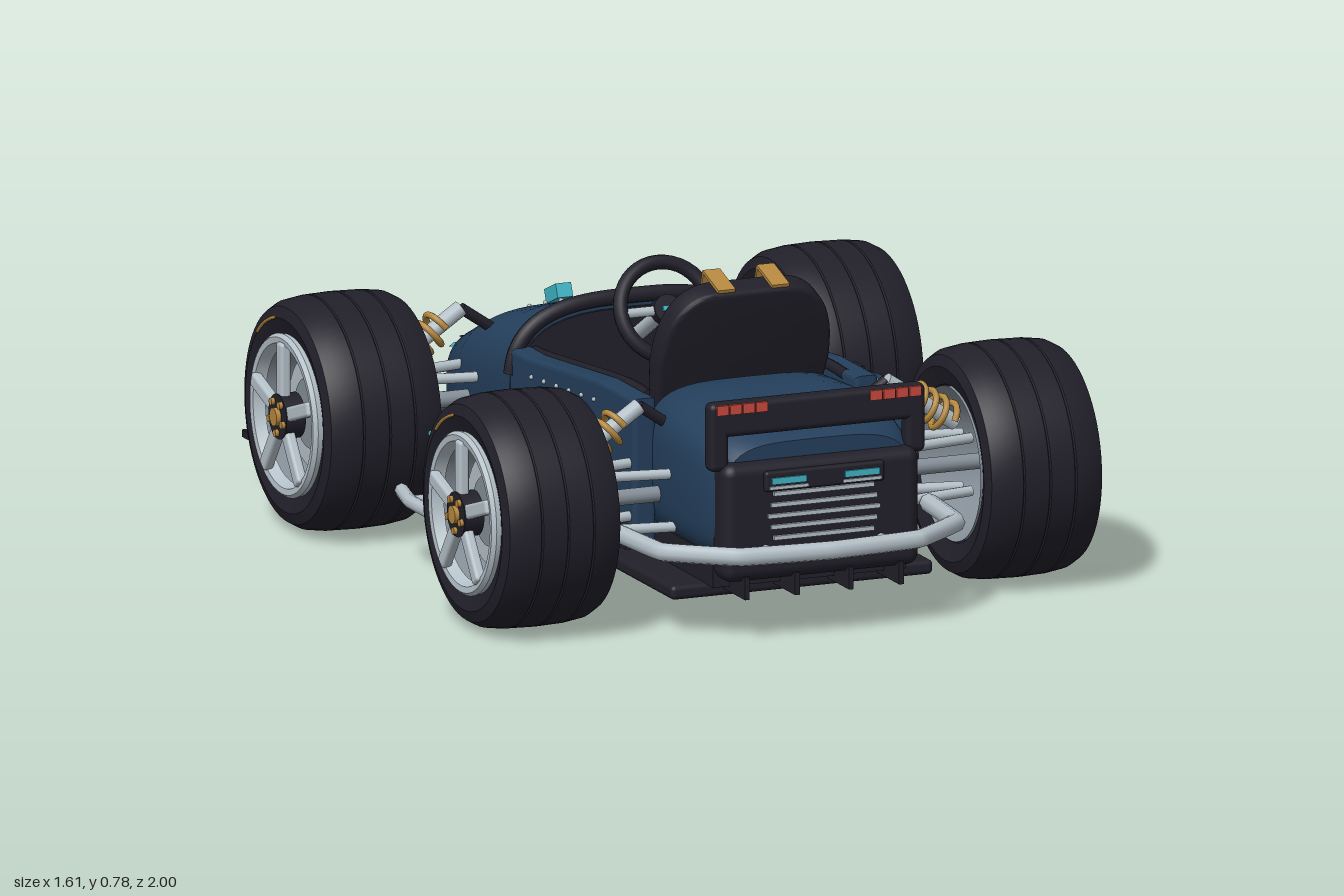
import * as THREE from 'three';
import { toCreasedNormals } from 'three/addons/utils/BufferGeometryUtils.js';
import { RoundedBoxGeometry } from 'three/addons/geometries/RoundedBoxGeometry.js';

const mat = (name, color, side = THREE.FrontSide) =>
  Object.assign(new THREE.MeshStandardMaterial({ color, side }), { name });
const V = (x, y, z) => new THREE.Vector3(x, y, z);

export function createModel() {
  const navy = mat('navy', 0x243f5c), black = mat('black', 0x211f29), silver = mat('silver', 0xb4c0c8),
    white = mat('white', 0xd5dadc, THREE.DoubleSide), gold = mat('gold', 0xb5883f), cyan = mat('cyan', 0x3fb3c4),
    red = mat('red', 0xc8483e), steel = mat('steel', 0x858f98, THREE.DoubleSide);
  const kart = new THREE.Group();
  kart.name = 'kart';

  // Helpers
  const add = (name, geo, m, pos = [0, 0, 0], parent = kart) => {
    const mesh = new THREE.Mesh(geo, m);
    mesh.name = name;
    mesh.position.set(...pos);
    parent.add(mesh);
    return mesh;
  };
  const box = (name, m, size, pos, parent, r = 0) =>
    add(name, r ? new RoundedBoxGeometry(...size, 3, r) : new THREE.BoxGeometry(...size), m, pos, parent);
  const tube = (name, m, pts, r, tension = 0.5, parent = kart, n = 40) =>
    add(name, new THREE.TubeGeometry(new THREE.CatmullRomCurve3(pts, false, 'catmullrom', tension), n, r, 8), m, [0, 0, 0], parent);
  const rod = (name, m, a, b, r, parent = kart) => {
    const mesh = add(name, new THREE.CylinderGeometry(r, r, a.distanceTo(b), 10), m, [0, 0, 0], parent);
    mesh.position.copy(a).add(b).multiplyScalar(0.5);
    mesh.quaternion.setFromUnitVectors(V(0, 1, 0), b.clone().sub(a).normalize());
    return mesh;
  };
  // Ring point of a rounded section [z, half width, bottom, top]
  const ringPoint = ([z, w, b, t], a, p) => {
    const f = v => Math.sign(v) * Math.abs(v) ** p;
    return V(w * f(Math.cos(a)), (b + t) / 2 + (t - b) / 2 * f(Math.sin(a)), z);
  };
  const loft = (sections, p, n = 40) => {
    const pos = [], idx = [];
    sections.forEach(s => {
      for (let j = 0; j < n; j++) pos.push(...ringPoint(s, j / n * Math.PI * 2, p).toArray());
    });
    const last = (sections.length - 1) * n;
    for (let j = 0; j < n; j++) {
      const k = (j + 1) % n;
      for (let i = 0; i < last; i += n) idx.push(i + j, i + k, i + n + j, i + k, i + n + k, i + n + j);
      if (j > 0 && j < n - 1) idx.push(0, j + 1, j, last, last + j, last + j + 1);
    }
    const g = new THREE.BufferGeometry();
    g.setAttribute('position', new THREE.Float32BufferAttribute(pos, 3));
    g.setIndex(idx);
    return toCreasedNormals(g, 0.7);
  };
  // Plan outline of [x, z] points raised along y
  const plan = (pts, h) => {
    const s = new THREE.Shape(pts.map(([x, z]) => new THREE.Vector2(x, -z)));
    return new THREE.ExtrudeGeometry(s, { depth: h, bevelEnabled: false }).rotateX(-Math.PI / 2);
  };

  // Floor and diffuser
  box('floor', black, [0.68, 0.035, 1.58], [0, 0.1, 0], kart, 0.012);
  box('tub', black, [0.5, 0.08, 1.5], [0, 0.155, 0.08]);
  for (const x of [-0.2, -0.07, 0.07, 0.2]) box('diffuserFin', black, [0.012, 0.055, 0.35], [x, 0.128, 0.745]);

  // Nose
  const NP = 0.68, nose = [[-0.965, 0.08, 0.16, 0.26], [-0.945, 0.12, 0.15, 0.3], [-0.88, 0.175, 0.14, 0.35],
    [-0.77, 0.25, 0.13, 0.405], [-0.6, 0.295, 0.13, 0.475], [-0.42, 0.312, 0.14, 0.525], [-0.23, 0.32, 0.14, 0.56]];
  const noseAt = z => {
    let i = 0;
    while (i < nose.length - 2 && nose[i + 1][0] < z) i++;
    const [a, b] = [nose[i], nose[i + 1]], k = (z - a[0]) / (b[0] - a[0]);
    return a.map((v, j) => v + (b[j] - v) * k);
  };
  const onNose = (x, z, lift = 0.003) => {
    const [, w, b, t] = noseAt(z), e = 2 / NP;
    return V(x, (b + t) / 2 + (t - b) / 2 * Math.max(0, 1 - Math.abs(x / w) ** e) ** (1 / e) + lift, z);
  };
  add('nose', loft(nose, NP, 56), navy);
  const stripe = new THREE.PlaneGeometry(1, 1, 6, 40), sp = stripe.attributes.position;
  for (let i = 0; i < sp.count; i++) {
    const k = sp.getY(i) + 0.5;
    const q = onNose(sp.getX(i) * (0.075 + 0.05 * k), -0.94 + 0.62 * k, 0.005);
    sp.setXYZ(i, q.x, q.y, q.z);
  }
  stripe.computeVertexNormals();
  stripe.attributes.normal.array.forEach((v, i, n) => { n[i] = -v; });
  const si = stripe.index.array;
  for (let i = 0; i < si.length; i += 3) [si[i], si[i + 1]] = [si[i + 1], si[i]];
  add('noseStripe', stripe, white);
  box('noseFin', cyan, [0.04, 0.035, 0.075], [-0.045, 0.505, -0.57]).rotation.x = -0.4;
  const hoop = [...Array(25)].map((_, i) => ringPoint([-0.235, 0.315, 0.14, 0.57], Math.PI * (0.04 + 0.92 * i / 24), NP));
  tube('cowlHoop', black, hoop, 0.02);
  add('dashboard', loft([[-0.232, 0.3, 0.16, 0.545], [-0.222, 0.3, 0.16, 0.545]], NP), black);
  for (const s of [-1, 1]) {
    const edge = [[0.125, -0.935], [0.16, -0.885], [0.205, -0.815], [0.245, -0.755]];
    tube('noseTrim', cyan, edge.map(([x, z]) => onNose(s * x, z, 0.006)), 0.011);
    tube('noseTrimShadow', black, edge.map(([x, z]) => onNose(s * (x - 0.02), z, 0.002)), 0.009);
    for (let i = 0; i < 6; i++) add('noseRivet', new THREE.SphereGeometry(0.006, 8, 6), silver, onNose(s * 0.095, -0.82 + i * 0.095).toArray());
    add('headlightRing', new THREE.TorusGeometry(0.026, 0.007, 8, 24), cyan, [s * 0.085, 0.25, -0.97]);
    add('headlight', new THREE.SphereGeometry(0.024, 16, 10), silver, [s * 0.085, 0.25, -0.963]);
  }

  // Cockpit sides
  const sideShape = new THREE.Shape();
  sideShape.moveTo(-0.23, 0.15).lineTo(0.5, 0.15).lineTo(0.5, 0.5).lineTo(0.3, 0.5)
    .lineTo(-0.13, 0.46).lineTo(-0.23, 0.46).closePath();
  for (const s of [-1, 1]) {
    const g = new THREE.ExtrudeGeometry(sideShape, { depth: 0.035, bevelSize: 0.012, bevelThickness: 0.012, bevelSegments: 3 });
    add('cockpitSide', g.rotateY(-Math.PI / 2), navy, [s * 0.288 + 0.0175, 0, 0]);
    tube('cockpitRail', black, [V(s * 0.257, 0.46, -0.22), V(s * 0.257, 0.468, -0.1), V(s * 0.257, 0.505, 0.3), V(s * 0.257, 0.505, 0.46)], 0.014);
    box('sill', black, [0.02, 0.06, 0.72], [s * 0.32, 0.17, 0.13]);
    for (let i = 0; i < 6; i++) add('sideRivet', new THREE.SphereGeometry(0.006, 8, 6), silver, [s * 0.319, 0.43 + i * 0.006, -0.1 + i * 0.075]);
  }

  // Engine cover, tail panel and light bar
  add('engineCover', loft([[0.43, 0.25, 0.15, 0.51], [0.47, 0.268, 0.15, 0.53], [0.6, 0.275, 0.15, 0.535],
    [0.76, 0.272, 0.15, 0.515], [0.84, 0.262, 0.16, 0.495], [0.88, 0.24, 0.17, 0.47]], 0.52, 48), navy);
  box('tailPanel', black, [0.51, 0.29, 0.09], [0, 0.285, 0.868], kart, 0.03);
  for (let i = 0; i < 5; i++) box('tailLouver', silver, [0.29 - 0.015 * Math.abs(i - 2), 0.01, 0.012], [0, 0.245 + i * 0.027, 0.915]);
  box('tailLampBox', black, [0.31, 0.05, 0.02], [0, 0.385, 0.916], kart, 0.008);
  box('lightBar', black, [0.56, 0.085, 0.045], [0, 0.535, 0.862], kart, 0.015);
  for (const s of [-1, 1]) {
    box('lightBarPost', black, [0.05, 0.16, 0.045], [s * 0.255, 0.49, 0.862], kart, 0.015);
    box('tailLamp', cyan, [0.09, 0.016, 0.008], [s * 0.095, 0.387, 0.927]);
    box('tailLampBase', silver, [0.1, 0.008, 0.008], [s * 0.095, 0.37, 0.926]);
    for (let i = 0; i < 4; i++) box('brakeLight', red, [0.03, 0.024, 0.008], [s * (0.148 + i * 0.034), 0.562, 0.886]);
  }
  tube('rearBumper', silver, [[-0.4, 0.62], [-0.38, 0.83], [-0.23, 0.95], [0, 0.972], [0.23, 0.95], [0.38, 0.83], [0.4, 0.62]]
    .map(([x, z]) => V(x, 0.215, z)), 0.023, 0.1, kart, 72);
  for (const s of [-1, 1]) rod('bumperStay', silver, V(s * 0.15, 0.215, 0.85), V(s * 0.15, 0.215, 0.96), 0.015);

  // Seat
  box('seatBox', black, [0.4, 0.09, 0.32], [0, 0.23, 0.19], kart, 0.02);
  const cushion = add('seatCushion', new THREE.SphereGeometry(1, 32, 16), navy, [0, 0.27, 0.175]);
  cushion.scale.set(0.2, 0.05, 0.145);
  const piping = add('cushionPiping', new THREE.TorusGeometry(0.2, 0.006, 8, 48), gold, [0, 0.275, 0.175]);
  piping.rotation.x = Math.PI / 2;
  piping.scale.y = 0.73;
  const back = new THREE.Group();
  back.name = 'seatBack';
  back.position.set(0, 0.3, 0.29);
  back.rotation.x = 0.3;
  kart.add(back);
  const arch = (w, y0, y1) => new THREE.Shape().moveTo(-w * 0.85, y0).lineTo(w * 0.85, y0).lineTo(w, y1 - 0.19)
    .bezierCurveTo(w, y1 - 0.05, w * 0.75, y1, w * 0.4, y1).lineTo(-w * 0.4, y1).bezierCurveTo(-w * 0.75, y1, -w, y1 - 0.05, -w, y1 - 0.19);
  const slab = (name, m, shape, depth, z) => add(name, toCreasedNormals(new THREE.ExtrudeGeometry(shape,
    { depth, bevelSize: 0.012, bevelThickness: 0.012, bevelSegments: 3, curveSegments: 12 }), 0.7), m, [0, 0, z], back);
  slab('seatShell', black, arch(0.21, 0, 0.475), 0.045, 0.012);
  slab('seatPad', navy, arch(0.165, 0.04, 0.435), 0.02, -0.015);
  for (const s of [-1, 1]) {
    box('seatStrap', gold, [0.045, 0.44, 0.008], [s * 0.07, 0.27, -0.032], back);
    box('strapTop', gold, [0.045, 0.008, 0.1], [s * 0.07, 0.491, 0.015], back);
    box('strapBuckle', silver, [0.052, 0.03, 0.008], [s * 0.07, 0.16, -0.038], back);
  }

  // Steering wheel
  const steer = new THREE.Group();
  steer.name = 'steeringWheel';
  steer.position.set(0, 0.58, -0.03);
  steer.rotation.x = -0.45;
  kart.add(steer);
  add('steeringRim', new THREE.TorusGeometry(0.117, 0.018, 10, 40), black, [0, 0, 0], steer);
  const hub = add('steeringHub', new THREE.CylinderGeometry(0.035, 0.035, 0.03, 20), black, [0, 0, 0], steer);
  hub.rotation.x = Math.PI / 2;
  for (const a of [0, Math.PI, -Math.PI / 2]) rod('steeringSpoke', silver, V(0, 0, 0), V(0.11 * Math.cos(a), 0.11 * Math.sin(a), 0), 0.012, steer);
  box('steeringBadgePlate', cyan, [0.03, 0.012, 0.008], [0, 0, 0.018], steer);
  rod('steeringColumn', silver, V(0, 0.575, -0.04), V(0, 0.46, -0.24), 0.018);

  // Side pods and guard bars
  const podSec = [...Array(17)].map((_, i) => {
    const u = -Math.cos(Math.PI * i / 16), f = Math.max(0.02, 1 - Math.abs(u) ** 2.6) ** 0.45;
    return [0.035 + 0.212 * u, 0.135 * f, 0.275 - 0.112 * f, 0.275 + 0.112 * f];
  });
  for (const s of [-1, 1]) {
    add('sidePod', loft(podSec, 0.75), navy, [s * 0.465, 0, 0]);
    box('podVent', black, [0.1, 0.012, 0.05], [s * 0.465, 0.386, -0.055]);
    box('podBlade', gold, [0.012, 0.014, 0.27], [s * 0.475, 0.39, 0.03]).rotation.y = s * 0.08;
    const line = (name, m, y, x, z0, z1) => tube(name, m, [V(s * (x - 0.015), y, z0), V(s * x, y, (z0 + z1) / 2), V(s * (x - 0.015), y, z1)], 0.007);
    line('podStripe', cyan, 0.318, 0.595, -0.1, 0.2);
    line('podPinstripe', gold, 0.288, 0.6, -0.07, 0.19);
    line('podUpperPinstripe', gold, 0.367, 0.54, -0.03, 0.14);
    line('podLowerTrim', silver, 0.178, 0.54, -0.12, 0.2);
    add('fuelCap', new THREE.SphereGeometry(0.036, 18, 12), silver, [s * 0.585, 0.24, 0.04]);
    tube('sideGuard', silver, [V(s * 0.63, 0.17, -0.16), V(s * 0.655, 0.17, -0.05), V(s * 0.655, 0.17, 0.1), V(s * 0.63, 0.17, 0.23)], 0.017, 0.2);
    for (const z of [-0.06, 0.12]) rod('guardStay', silver, V(s * 0.3, 0.16, z), V(s * 0.65, 0.17, z), 0.011);
  }

  // Front wing
  add('frontWing', plan([[-0.65, -0.965], [-0.15, -0.99], [0.15, -0.99], [0.65, -0.965], [0.65, -0.9], [0.3, -0.92], [0.15, -0.86], [-0.15, -0.86], [-0.3, -0.92], [-0.65, -0.9]], 0.035), navy, [0, 0.14, 0]);
  box('wingCentre', black, [0.25, 0.045, 0.03], [0, 0.16, -0.985], kart, 0.012);
  for (const s of [-1, 1]) {
    rod('wingTrim', cyan, V(s * 0.15, 0.172, -0.989), V(s * 0.65, 0.172, -0.965), 0.009);
    const flap = box('wingFlap', white, [0.35, 0.014, 0.07], [s * 0.47, 0.205, -0.877]);
    flap.rotation.set(-0.35, -s * 0.04, 0);
    rod('flapStay', silver, V(s * 0.36, 0.16, -0.93), V(s * 0.36, 0.2, -0.88), 0.008);
    box('wingEndplate', white, [0.018, 0.15, 0.135], [s * 0.66, 0.21, -0.928]);
    box('endplateFoot', black, [0.05, 0.018, 0.12], [s * 0.66, 0.129, -0.93]);
    for (const [y, z] of [[0.16, -0.88], [0.16, -0.97], [0.255, -0.88]]) add('endplateBolt', new THREE.SphereGeometry(0.007, 8, 6), steel, [s * 0.669, y, z]);
  }

  // Wheels, outer face along local +x
  const lathe = pts => toCreasedNormals(new THREE.LatheGeometry(pts.map(p => new THREE.Vector2(...p)), 64).rotateZ(-Math.PI / 2), 0.5);
  const tyre = lathe([[0.19, -0.135], [0.235, -0.152], [0.262, -0.143], [0.276, -0.118], [0.283, -0.07], [0.279, -0.067], [0.283, -0.064],
    [0.285, -0.003], [0.281, 0], [0.285, 0.003], [0.283, 0.064], [0.279, 0.067], [0.283, 0.07], [0.276, 0.118], [0.262, 0.143], [0.235, 0.152], [0.19, 0.135], [0.19, -0.135]]);
  const rim = lathe([[0.165, 0.13], [0.195, 0.13], [0.198, 0.15], [0.19, 0.16], [0.175, 0.158], [0.165, 0.13]]);
  const barrel = lathe([[0.187, -0.14], [0.17, 0], [0.18, 0.14]]);
  const disc = (r, h) => new THREE.CylinderGeometry(r, r, h, 40).rotateZ(Math.PI / 2);
  for (const s of [-1, 1]) for (const z0 of [-0.522, 0.548]) {
    const w = new THREE.Group();
    w.name = z0 < 0 ? 'frontWheel' : 'rearWheel';
    w.position.set(s * 0.625, 0.285, z0);
    w.rotation.y = s < 0 ? Math.PI : 0;
    kart.add(w);
    add('tyre', tyre, black, [0, 0, 0], w);
    add('rim', rim, silver, [0, 0, 0], w);
    add('rimBarrel', barrel, steel, [0, 0, 0], w);
    add('wheelBack', disc(0.172, 0.01), steel, [0.05, 0, 0], w);
    add('brakeDisc', disc(0.135, 0.015), silver, [0.075, 0, 0], w);
    add('brakeBell', disc(0.085, 0.02), steel, [0.08, 0, 0], w);
    box('brakeCaliper', gold, [0.03, 0.06, 0.05], [0.085, 0.02, -0.125], w, 0.008);
    add('hub', disc(0.055, 0.05), black, [0.145, 0, 0], w);
    add('hubCap', disc(0.022, 0.02), gold, [0.172, 0, 0], w);
    for (let i = 0; i < 5; i++) {
      const a = i * Math.PI * 0.4, c = Math.cos(a), d = Math.sin(a);
      const spoke = box('spoke', silver, [0.026, 0.14, 0.036], [0.155, 0.11 * c, 0.11 * d], w, 0.008);
      spoke.rotation.x = a;
      add('wheelNut', disc(0.009, 0.014), gold, [0.172, 0.04 * Math.cos(a + 0.63), 0.04 * Math.sin(a + 0.63)], w);
    }
    const arc = [...Array(9)].map((_, i) => V(0.152, 0.236 * Math.cos(0.2 + i * 0.07), -s * 0.236 * Math.sin(0.2 + i * 0.07)));
    tube('tyreMark', gold, arc, 0.004, 0.5, w);

    // Suspension
    add('axle', new THREE.CylinderGeometry(0.02, 0.02, 0.4, 12).rotateZ(Math.PI / 2), steel, [s * 0.42, 0.285, z0]);
    for (const y of [0.22, 0.35]) for (const d of [-1, 1])
      rod('wishbone', silver, V(s * 0.26, y, z0 + d * 0.075), V(s * 0.53, y, z0 + d * 0.025), 0.013);
    const a = V(s * 0.32, 0.505, z0), b = V(s * 0.5, 0.385, z0);
    rod('damper', silver, a, b, 0.02);
    const dir = b.clone().sub(a), n1 = V(0, 0, 1), n2 = dir.clone().normalize().cross(n1);
    const coil = [...Array(49)].map((_, i) => {
      const t = i / 48 * Math.PI * 8;
      return a.clone().addScaledVector(dir, 0.3 + 0.6 * i / 48).addScaledVector(n1, 0.038 * Math.cos(t)).addScaledVector(n2, 0.038 * Math.sin(t));
    });
    tube('spring', gold, coil, 0.008, 0.5, kart, 96);
    rod('damperMount', black, V(s * 0.24, 0.45, z0), a, 0.014);
  }
  return kart;
}
